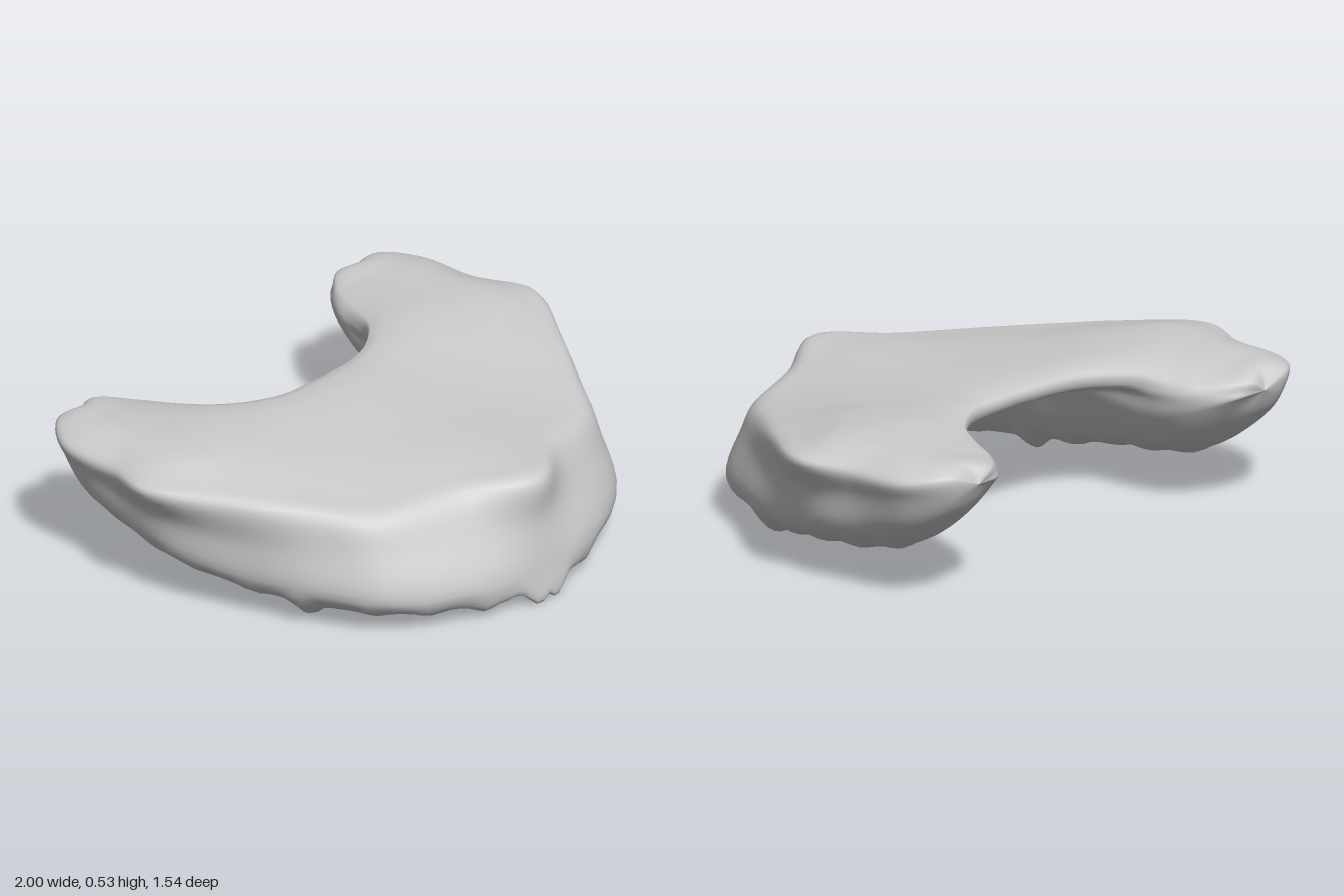
import * as THREE from 'three';

// Rails run from the front midline to the tip of the left arm: x, y, z triples.
// In order they trace a cross-section: outer edge, down the wall, up the vault, over the top.
const TIP = [0.69, 0.45, -0.775];
const RAILS = {
  outerEdge: [0, .45, .72, .24, .435, .57, .54, .41, .45, .68, .43, .28, .84, .45, .07, 1, .47, -.2, .945, .46, -.4, .92, .47, -.64, .81, .485, -.76],
  upperWall: [0, .3, .72, .25, .3, .65, .565, .3, .5, .69, .3, .33, .81, .3, .09, .93, .35, -.19, .915, .37, -.4, .9, .4, -.62, .8, .42, -.75],
  lowerWall: [0, .13, .75, .25, .13, .725, .57, .13, .56, .71, .14, .34, .79, .14, .1, .89, .2, -.18, .88, .245, -.4, .85, .29, -.6, .77, .36, -.725],
  biteEdge: [0, .04, .76, .25, .055, .69, .48, .06, .54, .6, .055, .32, .67, .07, .1, .73, .11, -.16, .73, .14, -.38, .71, .21, -.56, .68, .35, -.715],
  innerRidge: [0, .11, .62, .18, .11, .57, .36, .12, .44, .46, .13, .26, .5, .14, .06, .54, .17, -.16, .54, .2, -.38, .55, .26, -.56, .6, .38, -.71],
  vaultSide: [0, .25, .41, .11, .26, .37, .23, .29, .27, .33, .33, .13, .39, .345, -.01, .42, .35, -.19, .45, .33, -.42, .48, .36, -.59, .57, .42, -.73],
  vaultTop: [0, .37, .1, .1, .375, .07, .2, .385, .02, .3, .4, -.07, .36, .41, -.17, .41, .41, -.31, .44, .4, -.49, .475, .41, -.62, .58, .44, -.75],
  rimUnder: [0, .445, -.275, .08, .445, -.28, .16, .445, -.285, .25, .445, -.305, .33, .445, -.35, .4, .445, -.42, .44, .445, -.53, .485, .45, -.64, .6, .46, -.757],
  rimTop: [0, .495, -.28, .08, .495, -.285, .16, .495, -.29, .25, .5, -.31, .33, .5, -.355, .405, .5, -.42, .465, .49, -.53, .52, .485, -.645, .63, .49, -.767],
  crown: [0, .487, .2, .14, .485, .17, .3, .485, .1, .44, .495, .01, .57, .515, -.08, .78, .53, -.22, .77, .53, -.44, .75, .525, -.6, .71, .51, -.73],
  shoulder: [0, .468, .58, .2, .46, .47, .47, .44, .36, .6, .455, .21, .76, .483, .02, .92, .5, -.21, .88, .502, -.42, .86, .508, -.62, .78, .505, -.745],
};

// Cusps along the bite edge: station, drop, spread.
const CUSPS = [[0.17, .04, .17], [0.5, -.015, .12], [1, .026, .17], [1.7, .014, .15],
  [2.4, .012, .14], [3.35, .042, .16], [4.1, .014, .15], [4.8, .01, .15], [5.5, .012, .18], [6.3, .012, .2]];

const STATIONS = 9, ALONG = 160, AROUND = 55;

// Mirror a half rail into one smooth curve running from the right tip to the left tip.
function fullRail(values) {
  const half = [];
  for (let i = 0; i < values.length; i += 3) half.push(new THREE.Vector3(values[i], values[i + 1], values[i + 2]));
  half.push(new THREE.Vector3(...TIP));
  const mirrored = half.slice(1).reverse().map(p => new THREE.Vector3(-p.x, p.y, p.z));
  return new THREE.CatmullRomCurve3([...mirrored, ...half]);
}

function cuspDrop(station) {
  return CUSPS.reduce((sum, [at, drop, spread]) => sum + drop * Math.exp(-(((station - at) / spread) ** 2)), 0);
}

// Loft closed, rounded cross-sections between the rails.
function archGeometry() {
  const rails = Object.values(RAILS).map(fullRail);
  const biteRail = fullRail(RAILS.biteEdge);
  const positions = [], indices = [];
  for (let i = 0; i <= ALONG; i++) {
    const t = i / ALONG;
    const station = Math.abs(t * 2 - 1) * STATIONS;
    const section = new THREE.CatmullRomCurve3(rails.map(r => r.getPoint(t)), true);
    const bite = biteRail.getPoint(t).y;
    const drop = cuspDrop(station);
    for (let j = 0; j < AROUND; j++) {
      const p = section.getPoint(j / AROUND);
      // Cusps fade out above the bite edge
      const weight = THREE.MathUtils.clamp(1 - (p.y - bite) / 0.11, 0, 1);
      positions.push(p.x, Math.max(0, p.y - drop * weight), p.z);
    }
  }
  for (let i = 0; i < ALONG; i++) {
    for (let j = 0; j < AROUND; j++) {
      const k = (j + 1) % AROUND;
      const a = i * AROUND + j, b = i * AROUND + k;
      const c = a + AROUND, d = b + AROUND;
      indices.push(a, b, c, b, d, c);
    }
  }
  const geometry = new THREE.BufferGeometry();
  geometry.setAttribute('position', new THREE.Float32BufferAttribute(positions, 3));
  geometry.setIndex(indices);
  geometry.computeVertexNormals();
  return geometry;
}

export function createModel() {
  const group = new THREE.Group();
  group.name = 'upperDentalArch';
  const material = new THREE.MeshStandardMaterial({ color: 0xcccccc });
  const arch = new THREE.Mesh(archGeometry(), material);
  arch.name = 'archWithPalate';
  group.add(arch);
  return group;
}
